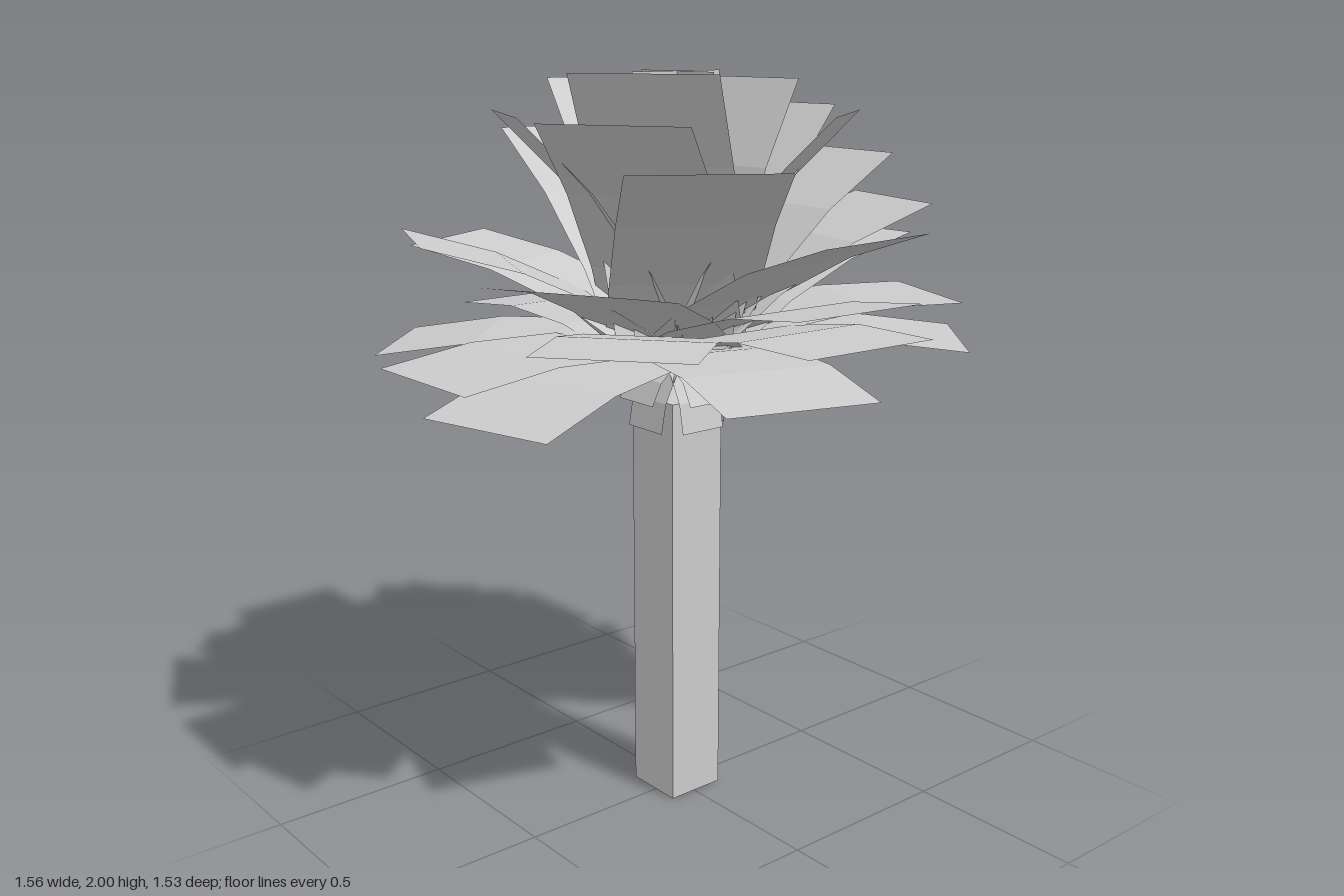
import * as THREE from 'three';

const material = new THREE.MeshStandardMaterial({ color: 0xcccccc, flatShading: true, side: THREE.DoubleSide });

// Flat strip of constant width following a [radius, height] path outward along +x
function strip(path, width) {
  const geo = new THREE.PlaneGeometry(1, width, path.length - 1, 1).rotateX(-Math.PI / 2);
  const pos = geo.attributes.position;
  for (let i = 0; i < pos.count; i++) {
    const [r, y] = path[i % path.length];
    pos.setXYZ(i, r, y, pos.getZ(i));
  }
  geo.computeVertexNormals();
  return geo;
}

// Arched leaf path from the crown to a tip at radius r and height y
function leafPath(r, y, arch) {
  const base = 1.275, dy = y - base, len = Math.hypot(r, dy);
  return [0, 1 / 3, 2 / 3, 1].map((t) => {
    const b = 4 * arch * t * (1 - t);
    return [r * t - (dy / len) * b, base + dy * t + (r / len) * b];
  });
}

// Leaves: [azimuth in degrees from +x towards +z, tip radius, tip height]
const LEAVES = [
  // upright heart leaves
  [148, 0.265, 2.0], [-5, 0.25, 1.98], [-90, 0.3, 1.98],
  // rising leaves
  [-5, 0.4, 1.91], [204, 0.45, 1.9], [55, 0.445, 1.9], [149, 0.455, 1.89],
  [-90, 0.525, 1.84], [122, 0.56, 1.79], [4, 0.58, 1.78],
  // spreading leaves
  [-32, 0.655, 1.69], [85, 0.67, 1.63], [14, 0.67, 1.65], [203, 0.695, 1.6],
  [243, 0.7, 1.54], [152, 0.715, 1.54], [-50, 0.72, 1.54], [-4, 0.745, 1.54], [93, 0.715, 1.48],
  // low outer leaves
  [141, 0.735, 1.4], [93, 0.75, 1.4], [-46, 0.785, 1.36], [41, 0.75, 1.31], [21, 0.75, 1.39],
  [226, 0.775, 1.28], [107, 0.75, 1.28], [-90, 0.76, 1.32], [180, 0.785, 1.3], [166, 0.755, 1.21],
];

// Collar flap layers as [radius, height] paths
const FLAPS = [
  [[0, 1.275], [0.06, 1.22], [0.095, 1.15], [0.11, 1.07]],
  [[0, 1.275], [0.06, 1.25], [0.11, 1.21], [0.14, 1.15]],
  [[0, 1.275], [0.06, 1.27], [0.12, 1.25], [0.165, 1.22]],
];

export function createModel() {
  const model = new THREE.Group();
  const plant = new THREE.Group();
  plant.name = 'plant';
  plant.position.set(0.006, 0, -0.01);
  model.add(plant);

  // Square stalk
  const stalk = new THREE.Mesh(new THREE.BoxGeometry(0.17, 1.15, 0.17), material);
  stalk.name = 'stalk';
  stalk.position.y = 0.575;
  plant.add(stalk);

  // Crown of bent rectangular leaves
  const crown = new THREE.Group();
  crown.name = 'crown';
  for (const [deg, r, y] of LEAVES) {
    const leaf = new THREE.Mesh(strip(leafPath(r, y, 0.045), 0.39), material);
    leaf.name = 'leaf';
    leaf.rotation.y = -THREE.MathUtils.degToRad(deg);
    crown.add(leaf);
  }
  plant.add(crown);

  // Two crossed upright blades in the heart of the crown
  for (let i = 0; i < 2; i++) {
    const blade = new THREE.Mesh(new THREE.PlaneGeometry(0.29, 0.725), material);
    blade.name = 'heartBlade';
    blade.position.y = 1.6375;
    blade.rotation.y = (i * Math.PI) / 2;
    plant.add(blade);
  }

  // Layered flaps hanging over the top of the stalk
  const collar = new THREE.Group();
  collar.name = 'collar';
  for (const path of FLAPS) {
    for (let i = 0; i < 4; i++) {
      const flap = new THREE.Mesh(strip(path, 0.14), material);
      flap.name = 'collarFlap';
      flap.rotation.y = (i * Math.PI) / 2;
      collar.add(flap);
    }
  }
  plant.add(collar);

  return model;
}
